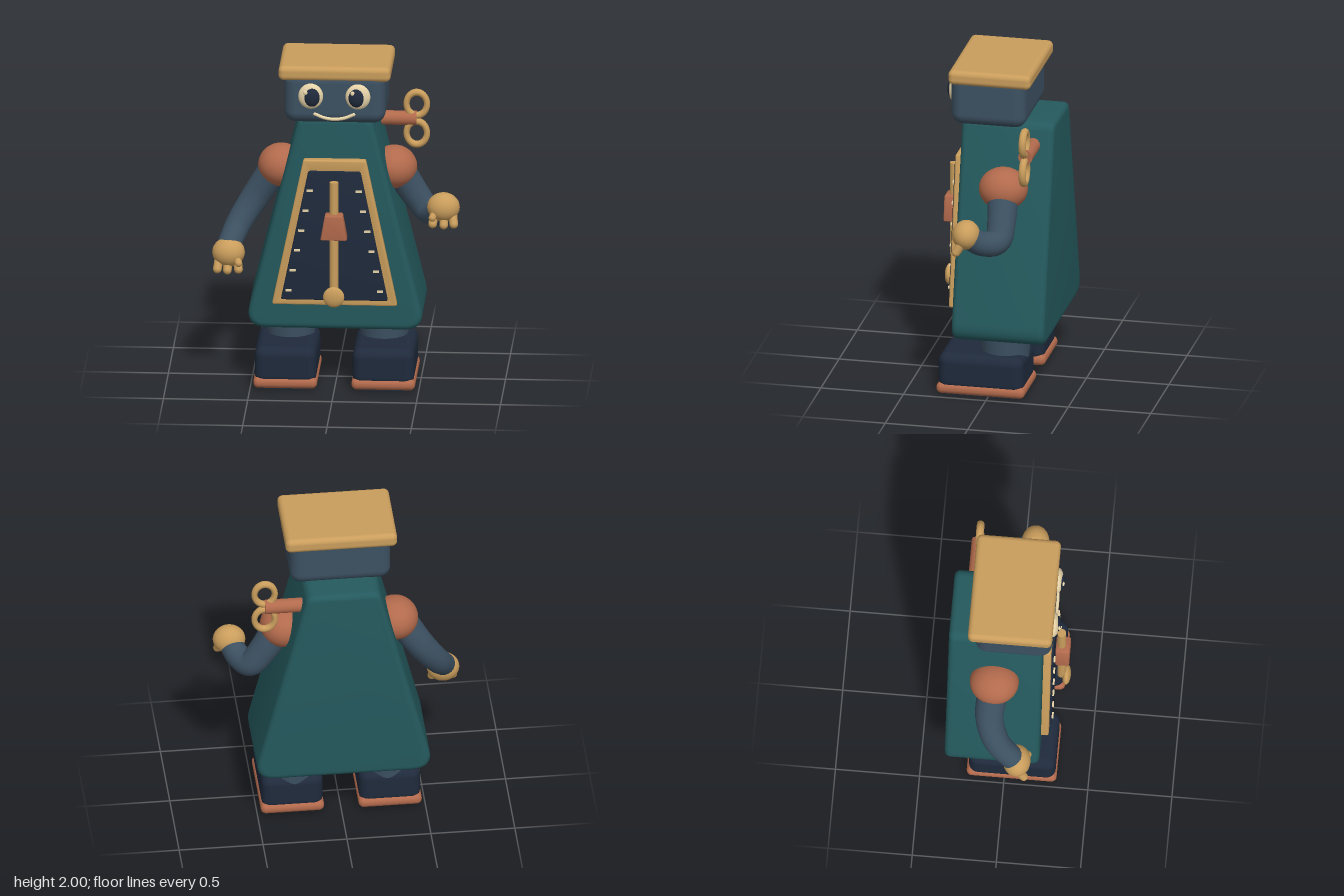
import * as THREE from 'three';
import { toCreasedNormals } from 'three/addons/utils/BufferGeometryUtils.js';
import { RoundedBoxGeometry } from 'three/addons/geometries/RoundedBoxGeometry.js';

const mat = (name, color) => {
  const m = new THREE.MeshStandardMaterial({ color });
  m.name = name;
  return m;
};
const teal = mat('teal', 0x24595d);
const slate = mat('slate', 0x3c5061);
const navy = mat('navy', 0x1f2a3c);
const brass = mat('brass', 0xc99d5c);
const copper = mat('copper', 0xb26a4c);
const cream = mat('cream', 0xe6d3a8);

const V = (x, y, z) => new THREE.Vector3(x, y, z);

function add(parent, name, geometry, material, x = 0, y = 0, z = 0) {
  const mesh = new THREE.Mesh(geometry, material);
  mesh.name = name;
  mesh.position.set(x, y, z);
  parent.add(mesh);
  return mesh;
}

function ball(parent, name, material, p, rx, ry = rx, rz = rx) {
  const mesh = add(parent, name, new THREE.SphereGeometry(1, 32, 20), material, p.x, p.y, p.z);
  mesh.scale.set(rx, ry, rz);
  return mesh;
}

// Symmetric trapezoid with rounded corners; rb and rt are corner cut lengths
function trapezoid(Type, y0, w0, y1, w1, rb, rt) {
  const c = [[-w0, y0, rb], [w0, y0, rb], [w1, y1, rt], [-w1, y1, rt]];
  const path = new Type();
  c.forEach(([x, y, r], i) => {
    const p = new THREE.Vector2(x, y);
    const toward = ([qx, qy]) =>
      p.clone().add(new THREE.Vector2(qx - x, qy - y).setLength(r));
    const a = toward(c[(i + 3) % 4]), b = toward(c[(i + 1) % 4]);
    if (i === 0) path.moveTo(a.x, a.y);
    else path.lineTo(a.x, a.y);
    path.quadraticCurveTo(x, y, b.x, b.y);
  });
  path.closePath();
  return path;
}

// Extrusion between z0 and z1 whose bevel stays inside the outline
function slab(shape, z0, z1, bevel, steps = 3) {
  const g = new THREE.ExtrudeGeometry(shape, {
    depth: z1 - z0 - 2 * bevel, curveSegments: 8, bevelEnabled: true,
    bevelThickness: bevel, bevelSize: bevel, bevelOffset: -bevel, bevelSegments: steps,
  });
  g.translate(0, 0, z0 + bevel);
  return toCreasedNormals(g, 0.6);
}

// Tube that narrows from r0 to r1
function taperedTube(points, r0, r1) {
  const n = 32, radial = 20;
  const curve = new THREE.CatmullRomCurve3(points);
  const g = new THREE.TubeGeometry(curve, n, 1, radial);
  const pos = g.attributes.position, v = V(0, 0, 0);
  for (let i = 0; i < pos.count; i++) {
    const t = Math.floor(i / (radial + 1)) / n;
    const centre = curve.getPointAt(t);
    v.fromBufferAttribute(pos, i).sub(centre)
      .multiplyScalar(THREE.MathUtils.lerp(r0, r1, t)).add(centre);
    pos.setXYZ(i, v.x, v.y, v.z);
  }
  return g;
}

function buildHead(root) {
  const head = new THREE.Group();
  head.name = 'head';
  add(head, 'face', new RoundedBoxGeometry(0.6, 0.32, 0.455, 5, 0.07), slate, 0, 1.805, 0.0375);
  add(head, 'cap', new RoundedBoxGeometry(0.665, 0.09, 0.5, 4, 0.032), brass, 0, 1.955, 0.02);
  for (const s of [-1, 1]) {
    const x = s * 0.14;
    ball(head, 'eyeWhite', cream, V(x, 1.822, 0.268), 0.074, 0.078, 0.032);
    ball(head, 'pupil', navy, V(x - s * 0.008, 1.82, 0.286), 0.047, 0.057, 0.026);
    ball(head, 'eyeGlint', cream, V(x - 0.03, 1.852, 0.302), 0.013, 0.014, 0.008);
  }
  const smile = new THREE.CatmullRomCurve3([
    V(-0.115, 1.712, 0.27), V(-0.06, 1.69, 0.272), V(0, 1.682, 0.272),
    V(0.06, 1.69, 0.272), V(0.115, 1.712, 0.27)]);
  add(head, 'mouth', new THREE.TubeGeometry(smile, 24, 0.01, 10), cream);
  for (const s of [-1, 1]) ball(head, 'mouthCorner', cream, V(s * 0.115, 1.712, 0.27), 0.01);
  root.add(head);
}

function buildDial(root) {
  const dial = new THREE.Group();
  dial.name = 'dial';
  // Frame with an opening, and the dark panel set in it
  const frame = trapezoid(THREE.Shape, 0.52, 0.372, 1.42, 0.185, 0.015, 0.015);
  frame.holes.push(trapezoid(THREE.Path, 0.575, 0.295, 1.34, 0.138, 0.01, 0.01));
  add(dial, 'dialFrame', slab(frame, 0.2, 0.255, 0.01), brass);
  const panel = trapezoid(THREE.Shape, 0.555, 0.318, 1.355, 0.155, 0.015, 0.015);
  add(dial, 'dialPanel', slab(panel, 0.215, 0.266, 0.006), navy);
  // Scale marks follow the slanted edges
  for (let i = 0; i < 6; i++) {
    const y = 1.235 - i * 0.124;
    const x = 0.155 + (1.355 - y) * 0.204 - 0.034;
    for (const s of [-1, 1])
      add(dial, 'scaleMark', new THREE.BoxGeometry(0.036, 0.012, 0.012), cream, s * x, y, 0.271);
  }
  // Pendulum
  add(dial, 'pendulumRod', new THREE.CylinderGeometry(0.026, 0.026, 0.7, 20), brass, 0, 0.95, 0.302);
  const weight = trapezoid(THREE.Shape, 0.95, 0.08, 1.105, 0.052, 0.01, 0.01);
  add(dial, 'pendulumWeight', slab(weight, 0.268, 0.352, 0.01), copper);
  ball(dial, 'pendulumBob', brass, V(0, 0.595, 0.33), 0.063, 0.063, 0.026);
  root.add(dial);
}

function buildArm(root, side, path, palm) {
  const arm = new THREE.Group();
  arm.name = side < 0 ? 'rightArm' : 'leftArm';
  ball(arm, 'shoulder', copper, V(side * 0.335, 1.288, -0.07), 0.137, 0.128, 0.146);
  add(arm, 'sleeve', taperedTube(path, 0.094, 0.07), slate);
  // Palm with three fingers and a thumb
  ball(arm, 'palm', brass, palm, 0.097, 0.088, 0.082);
  [-0.058, 0.004, 0.06].forEach((dx, i) => {
    const finger = add(arm, 'finger', new THREE.CapsuleGeometry(0.026, 0.06, 6, 14), brass,
      palm.x + side * dx, palm.y - (i === 1 ? 0.072 : 0.066), palm.z + 0.032);
    finger.rotation.set(-0.5, 0, side * dx * 2);
  });
  const thumb = add(arm, 'thumb', new THREE.CapsuleGeometry(0.022, 0.04, 6, 14), brass,
    palm.x - side * 0.055, palm.y - 0.035, palm.z + 0.05);
  thumb.rotation.set(-0.6, 0, -side * 0.4);
  root.add(arm);
}

function buildLeg(root, s) {
  const leg = new THREE.Group();
  leg.name = s < 0 ? 'rightLeg' : 'leftLeg';
  add(leg, 'shin', new THREE.CylinderGeometry(0.152, 0.138, 0.22, 32), slate, s * 0.277, 0.3, -0.072);
  add(leg, 'shoe', new RoundedBoxGeometry(0.365, 0.225, 0.515, 5, 0.055), navy, s * 0.29, 0.147, 0.045);
  add(leg, 'soleRim', new RoundedBoxGeometry(0.378, 0.068, 0.535, 4, 0.032), copper, s * 0.291, 0.044, 0.043);
  add(leg, 'solePad', new THREE.BoxGeometry(0.29, 0.03, 0.445), navy, s * 0.291, 0.015, 0.043);
  root.add(leg);
}

function buildKey(root) {
  const key = new THREE.Group();
  key.name = 'windingKey';
  const shaft = add(key, 'keyShaft', new THREE.CylinderGeometry(0.043, 0.043, 0.3, 24), copper, 0.31, 1.54, -0.23);
  shaft.rotation.z = Math.PI / 2;
  for (const s of [-1, 1]) {
    const loop = add(key, 'keyLoop', new THREE.TorusGeometry(0.066, 0.02, 14, 36), brass,
      0.46, 1.54 + s * 0.09, -0.225);
    loop.scale.set(0.92, 1.08, 1.1);
  }
  root.add(key);
}

export function createModel() {
  const root = new THREE.Group();
  root.name = 'metronomeRobot';

  // Tapering case
  const outline = trapezoid(THREE.Shape, 0.355, 0.542, 1.668, 0.215, 0.14, 0.05);
  add(root, 'body', slab(outline, -0.352, 0.21, 0.035, 5), teal);

  buildHead(root);
  buildDial(root);
  buildKey(root);
  for (const s of [-1, 1]) buildLeg(root, s);

  // One arm hangs, the other bends forward
  buildArm(root, -1, [V(-0.36, 1.28, -0.07), V(-0.49, 1.08, -0.085), V(-0.585, 0.93, -0.03),
    V(-0.64, 0.82, 0.07)], V(-0.638, 0.788, 0.09));
  buildArm(root, 1, [V(0.36, 1.28, -0.07), V(0.45, 1.13, -0.085), V(0.53, 1.025, -0.075),
    V(0.59, 1.025, 0), V(0.63, 1.07, 0.07)], V(0.637, 1.092, 0.09));
  return root;
}
